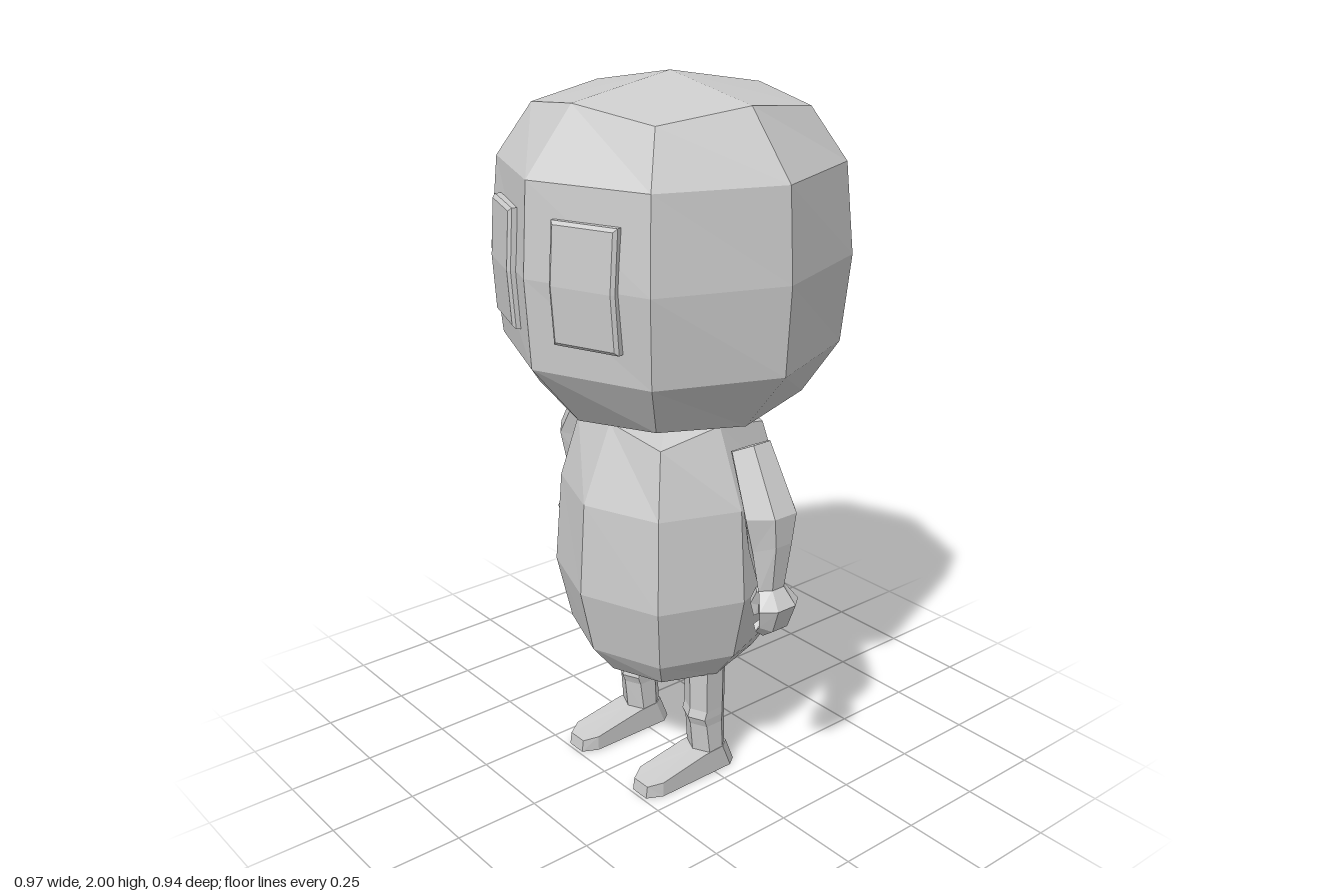
import * as THREE from 'three';

const material = new THREE.MeshStandardMaterial({ color: 0xcccccc, flatShading: true });

// Skin a stack of equal-length point rings; each end is closed by a fan, optionally to a given apex.
function loft(name, rings, startApex, endApex) {
  const n = rings[0].length;
  const centre = (ring) => [0, 1, 2].map((k) => ring.reduce((s, p) => s + p[k], 0) / n);
  const tris = [];
  const first = rings[0], last = rings[rings.length - 1];
  const a = startApex || centre(first), b = endApex || centre(last);
  for (let i = 0; i < n; i++) {
    const j = (i + 1) % n;
    tris.push([a, first[j], first[i]], [b, last[i], last[j]]);
    for (let r = 0; r + 1 < rings.length; r++) {
      const lo = rings[r], hi = rings[r + 1];
      tris.push([lo[i], lo[j], hi[j]], [lo[i], hi[j], hi[i]]);
    }
  }
  // Signed volume tells whether the faces point outwards
  let volume = 0;
  const o = new THREE.Vector3(...a);
  const v = (p) => new THREE.Vector3(...p).sub(o);
  for (const [p, q, s] of tris) volume += v(p).dot(v(q).cross(v(s)));
  const flat = tris.flatMap(([p, q, s]) => (volume > 0 ? [...p, ...q, ...s] : [...p, ...s, ...q]));
  const geometry = new THREE.BufferGeometry();
  geometry.setAttribute('position', new THREE.Float32BufferAttribute(flat, 3));
  geometry.computeVertexNormals();
  const mesh = new THREE.Mesh(geometry, material);
  mesh.name = name;
  return mesh;
}

// Eight-sided ring: four points on the axes, four on the diagonals
function octagon([axisR, axisY, diag, diagY]) {
  return [
    [axisR, axisY, 0], [diag, diagY, diag], [0, axisY, axisR], [-diag, diagY, diag],
    [-axisR, axisY, 0], [-diag, diagY, -diag], [0, axisY, -axisR], [diag, diagY, -diag],
  ];
}

// Six-sided limb ring between an outer and an inner point, w = half depth
function limbRing(side, [ox, oy, ix, iy, w, z = 0]) {
  const mx = (ox + ix) / 2, my = (oy + iy) / 2, f = w * 0.45;
  return [
    [ox, oy, f], [mx, my, w], [ix, iy, f], [ix, iy, -f], [mx, my, -w], [ox, oy, -f],
  ].map(([x, y, dz]) => [side * x, y, z + dz]);
}

// Raised plate that follows the bend of the front head facets
function makeEye(side) {
  const place = (u, y, d) => {
    const s = 1 - 0.035 * Math.abs(y - 1.53) / 0.24;
    return [side * (0.937 * u + 0.35 * d), y, 0.47 * s - 0.35 * u + 0.937 * d];
  };
  const ring = (inset, d) => {
    const u0 = 0.085 + inset, u1 = 0.275 - inset, y0 = 1.375 + inset, y1 = 1.69 - inset;
    return [[u0, y0], [u1, y0], [u1, 1.53], [u1, y1], [u0, y1], [u0, 1.53]].map(([u, y]) => place(u, y, d));
  };
  return loft('eye', [ring(0, -0.015), ring(0, 0.013), ring(0.009, 0.021)],
    place(0.18, 1.53, -0.015), place(0.18, 1.53, 0.021));
}

function makeArm(side) {
  const arm = new THREE.Group();
  arm.name = side > 0 ? 'leftArm' : 'rightArm';
  const rings = (rows) => rows.map((row) => limbRing(side, row));
  arm.add(loft('armSleeve', rings([
    [0.375, 1.09, 0.288, 1.048, 0.065],
    [0.472, 0.915, 0.352, 0.9, 0.085],
    [0.468, 0.83, 0.362, 0.79, 0.062],
    [0.45, 0.69, 0.397, 0.685, 0.045],
  ])));
  // Palm with fingers curled inwards
  arm.add(loft('hand', rings([
    [0.45, 0.7, 0.397, 0.69, 0.045],
    [0.487, 0.652, 0.425, 0.65, 0.07],
    [0.462, 0.582, 0.425, 0.615, 0.06],
    [0.418, 0.55, 0.412, 0.59, 0.045],
    [0.392, 0.572, 0.4, 0.592, 0.035],
  ])));
  arm.add(loft('thumb', rings([
    [0.43, 0.685, 0.392, 0.688, 0.025, 0.015],
    [0.405, 0.64, 0.37, 0.645, 0.025, 0.015],
    [0.4, 0.61, 0.382, 0.598, 0.016, 0.015],
  ])));
  return arm;
}

function makeLeg(side) {
  const leg = new THREE.Group();
  leg.name = side > 0 ? 'leftLeg' : 'rightLeg';
  const cx = 0.154;
  const at = ([x, y, z]) => [side * (cx + x), y, z];
  // Shin with a ridge down the front and back: [y, half width, front z, back z]
  const shin = [
    [0.06, 0.052, 0.04, -0.06], [0.16, 0.048, 0.05, -0.058], [0.185, 0.05, 0.06, -0.058],
    [0.21, 0.05, 0.052, -0.058], [0.4, 0.053, 0.055, -0.058],
  ].map(([y, w, f, b]) => [
    [0, y, f], [w, y, f - 0.022], [w, y, b + 0.03], [w * 0.5, y, b],
    [-w * 0.5, y, b], [-w, y, b + 0.03], [-w, y, f - 0.022],
  ].map(at));
  leg.add(loft('shin', shin));
  // Wedge foot outline: [x, sole z, top y, top z]
  const half = [
    [0.032, -0.09, 0.075, -0.06], [0.053, -0.06, 0.075, -0.03], [0.053, 0.03, 0.072, 0.035],
    [0.053, 0.195, 0.045, 0.195], [0.03, 0.24, 0.036, 0.235],
  ];
  const outline = [...half, ...half.map(([x, ...r]) => [-x, ...r]).reverse()];
  leg.add(loft('foot', [
    outline.map(([x, z]) => at([x, 0, z])),
    outline.map(([x, , y, z]) => at([x, y, z])),
  ], at([0, 0, 0.07]), at([0, 0.07, 0.04])));
  return leg;
}

export function createModel() {
  const model = new THREE.Group();
  model.name = 'figure';

  model.add(loft('head', [
    [0.312, 1.118, 0.256, 1.145],
    [0.455, 1.29, 0.325, 1.29],
    [0.47, 1.53, 0.342, 1.53],
    [0.455, 1.775, 0.325, 1.775],
    [0.312, 1.945, 0.256, 1.915],
  ].map(octagon), [0, 1.065, 0], [0, 2, 0]));

  model.add(loft('body', [
    [0.21, 0.332, 0.172, 0.35],
    [0.28, 0.42, 0.205, 0.42],
    [0.32, 0.605, 0.235, 0.605],
    [0.302, 0.87, 0.22, 0.87],
    [0.21, 1.088, 0.182, 1.052],
  ].map(octagon), [0, 0.305, 0], [0, 1.11, 0]));

  for (const side of [1, -1]) model.add(makeEye(side), makeArm(side), makeLeg(side));
  return model;
}
